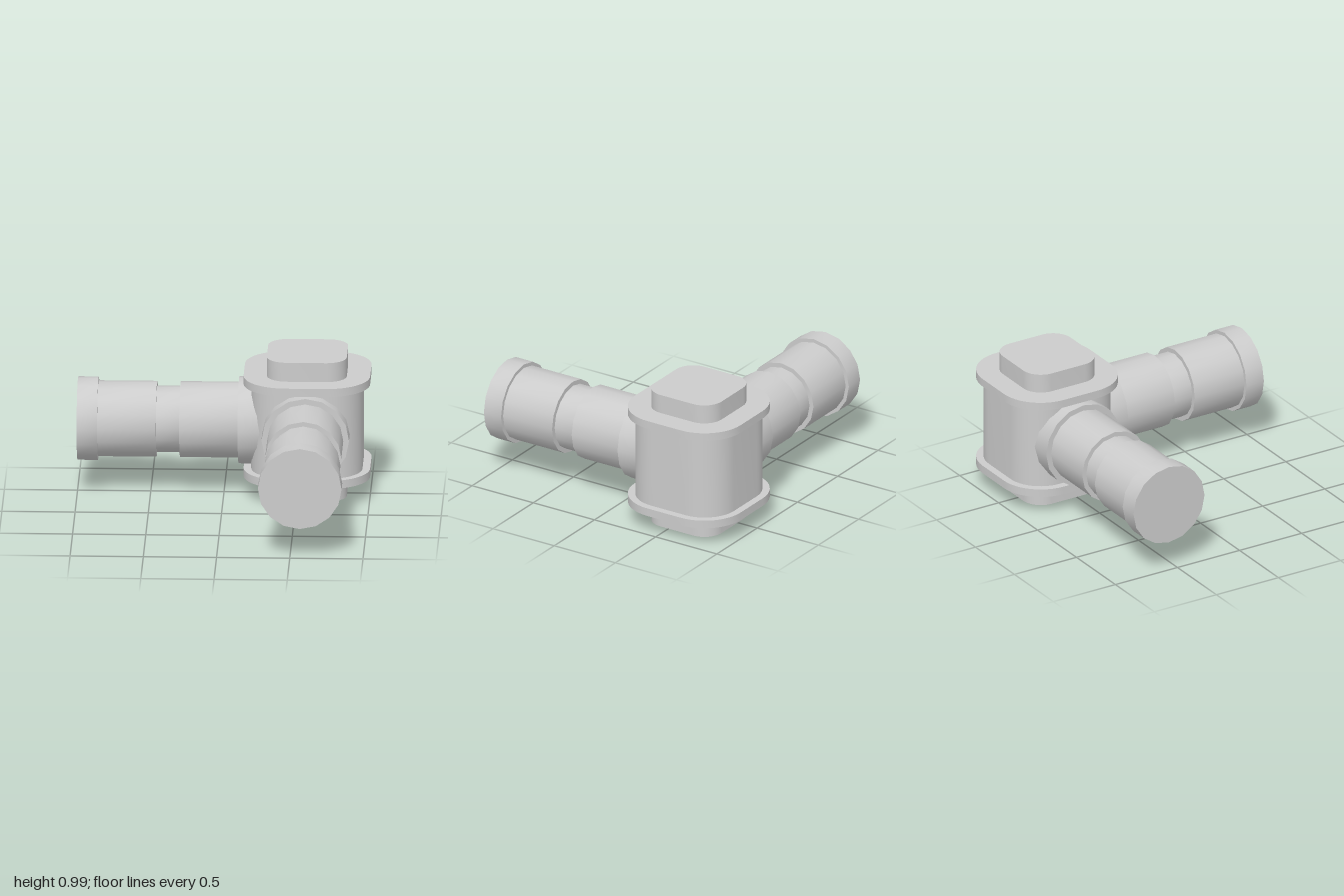
import * as THREE from 'three';
import { toCreasedNormals } from 'three/addons/utils/BufferGeometryUtils.js';

const material = new THREE.MeshStandardMaterial({ color: 0xcccccc });
const CENTRE = 0.568; // body axis is at x = CENTRE, z = -CENTRE
const MID = 0.495;

// Rounded-square slab between two heights
function slab(name, half, radius, y0, y1) {
  const c = half - radius;
  const s = new THREE.Shape();
  s.absarc(c, c, radius, 0, Math.PI / 2);
  s.absarc(-c, c, radius, Math.PI / 2, Math.PI);
  s.absarc(-c, -c, radius, Math.PI, Math.PI * 1.5);
  s.absarc(c, -c, radius, Math.PI * 1.5, Math.PI * 2);
  s.closePath();
  const geo = new THREE.ExtrudeGeometry(s, { depth: y1 - y0, bevelEnabled: false, curveSegments: 6 });
  geo.rotateX(-Math.PI / 2);
  const mesh = new THREE.Mesh(toCreasedNormals(geo, 0.6), material);
  mesh.name = name;
  mesh.position.set(CENTRE, y0, -CENTRE);
  return mesh;
}

// Sixteen-sided stepped pipe pointing along +z
function pipe(name) {
  const steps = [ // radius, start, end
    [0.299, -0.32, -0.10], // collar sunk into the body
    [0.26, -0.10, 0.30],
    [0.228, 0.30, 0.46],   // groove
    [0.26, 0.46, 0.86],
    [0.286, 0.86, 1.0],    // end ring
  ];
  const points = [new THREE.Vector2(0, -0.32)];
  for (const [r, a, b] of steps) points.push(new THREE.Vector2(r, a), new THREE.Vector2(r, b));
  points.push(new THREE.Vector2(0, 1));
  const geo = new THREE.LatheGeometry(points, 16);
  geo.rotateX(Math.PI / 2);
  const mesh = new THREE.Mesh(toCreasedNormals(geo, 0.6), material);
  mesh.name = name;
  return mesh;
}

export function createModel() {
  const model = new THREE.Group();
  model.name = 'cornerPipeJoint';

  // Central housing with flanges and caps
  model.add(
    slab('bottomCap', 0.273, 0.14, 0, 0.14),
    slab('bottomFlange', 0.432, 0.295, 0.14, 0.197),
    slab('housing', 0.38, 0.24, 0.197, 0.798),
    slab('topFlange', 0.432, 0.295, 0.798, 0.855),
    slab('topCap', 0.273, 0.14, 0.855, 0.99),
  );

  // Two pipes at a right angle
  const front = pipe('frontPipe');
  front.position.set(CENTRE, MID, 0);
  const right = pipe('rightPipe');
  right.rotation.y = -Math.PI / 2;
  right.position.set(0, MID, -CENTRE);
  model.add(front, right);

  return model;
}
